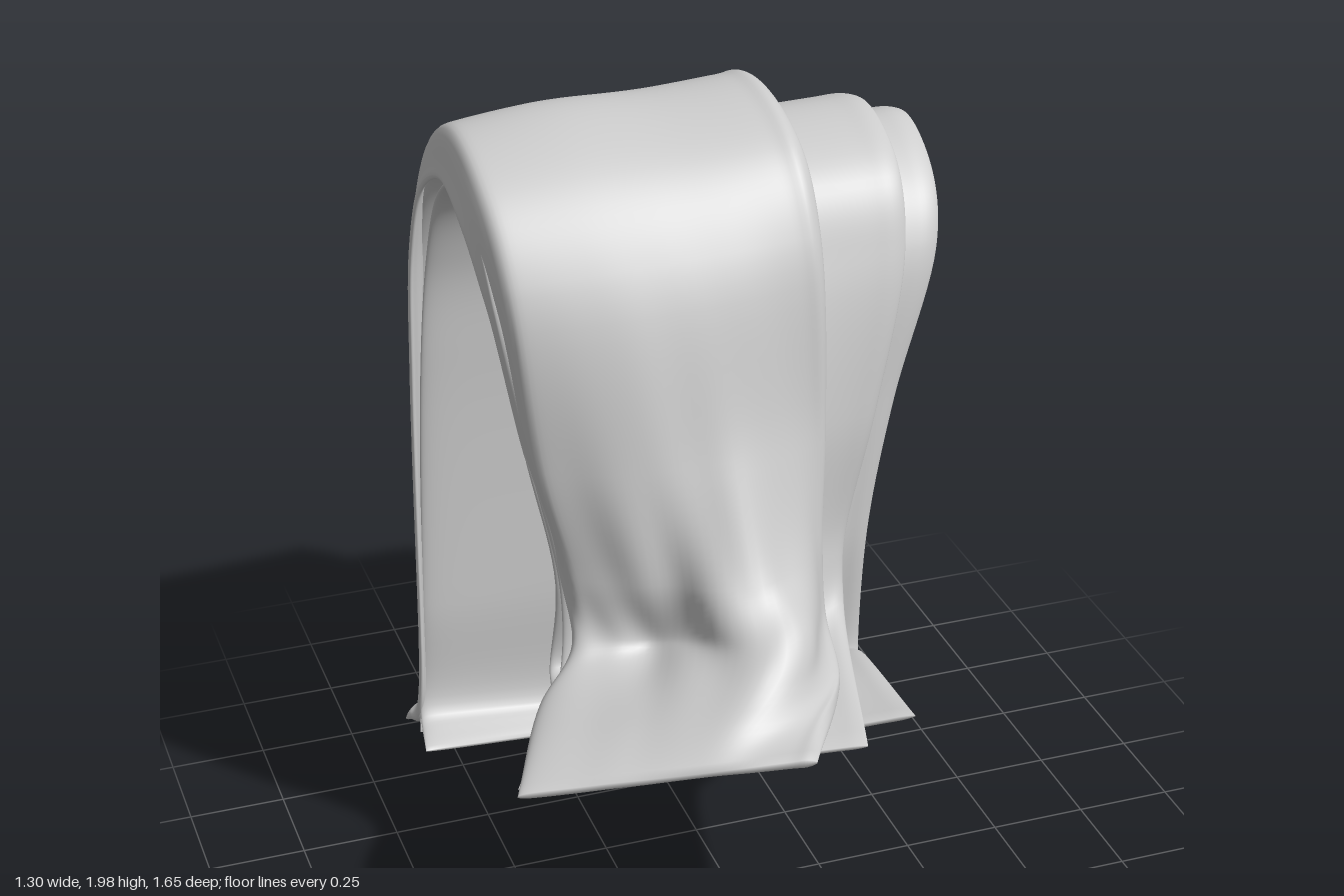
import * as THREE from 'three';

const ACROSS = 60, STEPS = 10;

// A row is [left xyz, right xyz, bulge in z at one third and two thirds, lift in y there].
function columnsFrom(rows) {
  return [0, 1 / 3, 2 / 3, 1].map((s, c) => new THREE.CatmullRomCurve3(rows.map((r) => {
    const p = new THREE.Vector3(r[0], r[1], r[2]).lerp(new THREE.Vector3(r[3], r[4], r[5]), s);
    if (c === 1) { p.z += r[6] || 0; p.y += r[8] || 0; }
    if (c === 2) { p.z += r[7] || 0; p.y += r[9] || 0; }
    return p;
  })));
}

// Folded cloth: a thick sheet with rounded side folds, swept along the rows.
function foldedSheet(name, rows, half, rim, wrinkle) {
  const columns = columnsFrom(rows);
  const along = (rows.length - 1) * STEPS;
  const us = Array.from({ length: ACROSS + 1 }, (_, i) => 0.5 - 0.5 * Math.cos(Math.PI * i / ACROSS));
  const grid = [];
  for (let j = 0; j <= along; j++) {
    const curve = new THREE.CatmullRomCurve3(columns.map((c) => c.getPoint(j / along)));
    grid.push(us.map((u) => curve.getPoint(u)));
  }
  const pos = [], idx = [], ring = 2 * (ACROSS + 1);
  const du = new THREE.Vector3(), dv = new THREE.Vector3();
  for (let j = 0; j <= along; j++) {
    const top = [], under = [];
    const hem = Math.min(1, 0.3 + Math.min(j, along - j) / 8);
    for (let i = 0; i <= ACROSS; i++) {
      const u = us[i], p = grid[j][i];
      du.subVectors(grid[j][Math.min(i + 1, ACROSS)], grid[j][Math.max(i - 1, 0)]);
      dv.subVectors(grid[Math.min(j + 1, along)][i], grid[Math.max(j - 1, 0)][i]);
      const n = dv.clone().cross(du).normalize();
      const edge = Math.sqrt(Math.max(0, 1 - Math.pow(2 * u - 1, 16)));
      const roll = rim * Math.exp(-Math.pow((u - 0.965) / 0.03, 2));
      const t = (half + roll) * edge * hem;
      const w = wrinkle(u, j / STEPS);
      top.push(p.clone().addScaledVector(n, w + t));
      under.unshift(p.clone().addScaledVector(n, w - t));
    }
    for (const q of top.concat(under)) pos.push(q.x, q.y, q.z);
  }
  for (let j = 0; j < along; j++) {
    for (let k = 0; k < ring; k++) {
      const a = j * ring + k, b = j * ring + (k + 1) % ring;
      idx.push(a, a + ring, b, b, a + ring, b + ring);
    }
  }
  // close the two hems
  for (let i = 0; i < ACROSS; i++) {
    const e = along * ring;
    idx.push(i, i + 1, ring - 1 - i, i + 1, ring - 2 - i, ring - 1 - i);
    idx.push(e + i, e + ring - 1 - i, e + i + 1, e + i + 1, e + ring - 1 - i, e + ring - 2 - i);
  }
  const geo = new THREE.BufferGeometry();
  geo.setAttribute('position', new THREE.Float32BufferAttribute(pos, 3));
  geo.setIndex(idx);
  geo.computeVertexNormals();
  const mesh = new THREE.Mesh(geo, new THREE.MeshStandardMaterial({ color: 0xcccccc, side: THREE.DoubleSide }));
  mesh.name = name;
  return mesh;
}

// rows run from the back hem, over the top, to the front hem
const INNER = [
  [-0.62, 0.13, -0.42, 0.42, 0.01, -0.51],
  [-0.60, 0.17, -0.545, 0.435, 0.06, -0.56],
  [-0.58, 0.50, -0.56, 0.475, 0.48, -0.565],
  [-0.55, 1.20, -0.565, 0.57, 1.20, -0.57],
  [-0.53, 1.50, -0.54, 0.61, 1.52, -0.545],
  [-0.52, 1.71, -0.45, 0.64, 1.74, -0.455],
  [-0.52, 1.81, -0.28, 0.65, 1.845, -0.28],
  [-0.52, 1.75, -0.08, 0.64, 1.76, -0.07],
  [-0.51, 1.60, 0.02, 0.61, 1.62, 0.03],
  [-0.46, 1.25, 0.07, 0.49, 1.25, 0.08, 0.03, 0.02],
  [-0.40, 0.90, 0.10, 0.42, 0.90, 0.10, 0.04, 0.02],
  [-0.42, 0.66, 0.10, 0.405, 0.53, 0.10, 0.02, 0.02],
  [-0.46, 0.65, 0.25, 0.37, 0.61, 0.22],
  [-0.62, 0.64, 0.55, 0.32, 0.71, 0.67],
];
const MIDDLE = [
  [-0.60, 0.10, -0.56, 0.36, 0.02, -0.68],
  [-0.59, 0.20, -0.59, 0.37, 0.12, -0.61],
  [-0.58, 0.50, -0.595, 0.41, 0.48, -0.60],
  [-0.555, 1.20, -0.605, 0.49, 1.20, -0.61],
  [-0.54, 1.55, -0.58, 0.52, 1.57, -0.585],
  [-0.53, 1.77, -0.47, 0.535, 1.80, -0.475],
  [-0.53, 1.855, -0.29, 0.545, 1.885, -0.29],
  [-0.53, 1.79, -0.05, 0.53, 1.81, -0.03],
  [-0.52, 1.62, 0.06, 0.51, 1.62, 0.07],
  [-0.46, 1.25, 0.11, 0.42, 1.25, 0.13, 0.05, 0.05],
  [-0.40, 0.90, 0.14, 0.34, 0.90, 0.14, 0.07, 0.08],
  [-0.43, 0.71, 0.22, 0.32, 0.76, 0.20, 0.06, 0.10],
  [-0.64, 0.65, 0.57, 0.17, 0.70, 0.74],
];
const OUTER = [
  [-0.62, 0.10, -0.64, 0.00, 0.04, -0.83],
  [-0.61, 0.15, -0.61, 0.10, 0.14, -0.66],
  [-0.60, 0.40, -0.62, 0.14, 0.40, -0.645],
  [-0.585, 1.20, -0.63, 0.25, 1.20, -0.645],
  [-0.575, 1.58, -0.60, 0.27, 1.62, -0.62, 0.01, 0.01],
  [-0.56, 1.81, -0.51, 0.28, 1.85, -0.53, 0.01, 0.01],
  [-0.555, 1.91, -0.32, 0.28, 1.95, -0.34, 0, 0, 0.02, 0],
  [-0.555, 1.85, -0.06, 0.28, 1.89, -0.03, 0, 0, 0.01, 0],
  [-0.54, 1.67, 0.08, 0.28, 1.70, 0.10, 0.03, 0.03],
  [-0.49, 1.25, 0.13, 0.275, 1.25, 0.15, 0.10, 0.11],
  [-0.42, 0.97, 0.17, 0.25, 0.97, 0.18, 0.11, 0.22],
  [-0.40, 0.80, 0.23, 0.24, 0.77, 0.22, 0.06, 0.30, 0, 0.10],
  [-0.51, 0.70, 0.32, 0.20, 0.71, 0.47, 0.10, 0.18, 0.04, 0.10],
  [-0.65, 0.65, 0.60, 0.01, 0.74, 0.82],
];

// soft folds that gather on the lower front and fade out elsewhere
const gather = (amount, row, spread) => (u, v) => {
  const near = Math.exp(-Math.pow((v - row) / spread, 2)) * Math.sin(Math.PI * u);
  return amount * near * (Math.sin(19 * u + 1.6 * v) + 0.5 * Math.sin(33 * u - 2.1 * v));
};

// the outer layer also curls inward along its right-hand side, hiding the layers below
const outerFolds = gather(0.011, 10.5, 1.4);
const curl = (u, v) => -0.085 * Math.exp(-Math.pow(u / 0.035, 2))
  * THREE.MathUtils.smoothstep(v, 0.3, 2) * (1 - THREE.MathUtils.smoothstep(v, 9, 11));

export function createModel() {
  const group = new THREE.Group();
  group.name = 'drapedTowel';
  group.add(foldedSheet('innerLayer', INNER, 0.016, 0.004, gather(0.006, 10.5, 1.2)));
  group.add(foldedSheet('middleLayer', MIDDLE, 0.016, 0.003, gather(0.004, 10, 1)));
  group.add(foldedSheet('outerLayer', OUTER, 0.03, 0.008, (u, v) => outerFolds(u, v) + curl(u, v)));
  return group;
}
